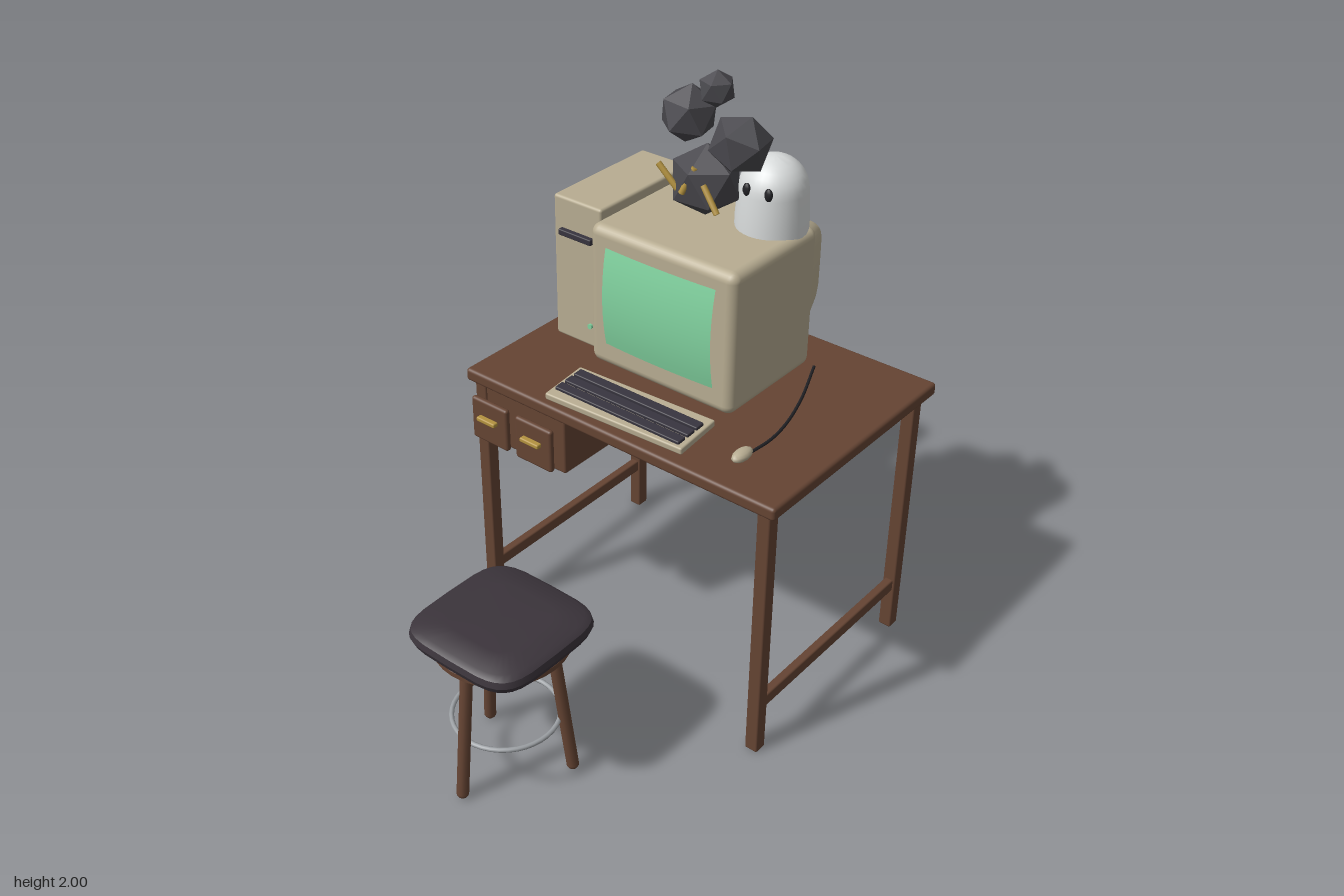
import * as THREE from 'three';
import { toCreasedNormals } from 'three/addons/utils/BufferGeometryUtils.js';
import { RoundedBoxGeometry } from 'three/addons/geometries/RoundedBoxGeometry.js';

const mat = (name, color, extra = {}) => {
  const m = new THREE.MeshStandardMaterial({ color, ...extra });
  m.name = name;
  return m;
};

// Stacked superellipse rings [y, rx, rz] along y, closed at both ends
function loft(rings, power, n = 32) {
  const pos = [], idx = [];
  const all = [[rings[0][0], 1e-4, 1e-4], ...rings, [rings.at(-1)[0], 1e-4, 1e-4]];
  all.forEach(([y, rx, rz], k) => {
    for (let i = 0; i < n; i++) {
      const a = (i / n) * Math.PI * 2, c = Math.cos(a), s = Math.sin(a);
      const se = (v) => Math.sign(v) * Math.abs(v) ** (2 / power);
      pos.push(se(c) * rx, y, se(s) * rz);
      if (k === 0) continue;
      const j = (i + 1) % n, b = (k - 1) * n, t = k * n;
      idx.push(b + i, t + i, b + j, b + j, t + i, t + j);
    }
  });
  const g = new THREE.BufferGeometry();
  g.setAttribute('position', new THREE.Float32BufferAttribute(pos, 3));
  g.setIndex(idx);
  return toCreasedNormals(g, 0.6);
}

export function createModel() {
  const wood = mat('wood', 0x654433);
  const beige = mat('beige plastic', 0xb8ad92);
  const cushionMat = mat('dark cushion', 0x3b343b);
  const dark = mat('dark keys', 0x37343e);
  const green = mat('green screen', 0x82d3a0, { side: THREE.DoubleSide });
  const gold = mat('gold', 0xb3923f);
  const rock = mat('charcoal', 0x4a494e, { flatShading: true });
  const white = mat('pale body', 0xd9dcdc);
  const steel = mat('steel', 0x9da1a5);
  const black = mat('black', 0x222226);

  const root = new THREE.Group();
  root.name = 'computerDesk';
  const group = (name) => {
    const g = new THREE.Group();
    g.name = name;
    root.add(g);
    return g;
  };
  const add = (parent, name, geo, material, x = 0, y = 0, z = 0) => {
    const m = new THREE.Mesh(geo, material);
    m.name = name;
    m.position.set(x, y, z);
    parent.add(m);
    return m;
  };
  // Rounded box given by its min and max corners
  const box = (parent, name, material, [x0, y0, z0], [x1, y1, z1], r = 0.006) =>
    add(parent, name, new RoundedBoxGeometry(x1 - x0, y1 - y0, z1 - z0, 3, r), material,
      (x0 + x1) / 2, (y0 + y1) / 2, (z0 + z1) / 2);
  // Rod between two points
  const rod = (parent, name, material, a, b, r, round = false) => {
    const p = new THREE.Vector3(...a), q = new THREE.Vector3(...b), len = p.distanceTo(q);
    const geo = round ? new THREE.CapsuleGeometry(r, len - 2 * r, 4, 12) : new THREE.CylinderGeometry(r, r, len, 8);
    const m = add(parent, name, geo, material);
    m.position.copy(p).lerp(q, 0.5);
    m.quaternion.setFromUnitVectors(new THREE.Vector3(0, 1, 0), q.sub(p).normalize());
    return m;
  };

  // Desk
  const desk = group('desk');
  box(desk, 'deskTop', wood, [-0.61, 0.93, -0.82], [0.61, 0.975, 0.075], 0.012);
  for (const s of [-1, 1]) {
    for (const z of [0.035, -0.757])
      box(desk, 'deskLeg', wood, [s * 0.563 - 0.023, 0, z - 0.023], [s * 0.563 + 0.023, 0.935, z + 0.023]);
    box(desk, 'sideStretcher', wood, [s * 0.563 - 0.015, 0.16, -0.75], [s * 0.563 + 0.015, 0.205, 0.03]);
  }
  box(desk, 'drawerCase', wood, [-0.585, 0.722, -0.76], [-0.206, 0.94, 0.052], 0.008);
  for (const x of [-0.49, -0.301]) {
    box(desk, 'drawerFront', wood, [x - 0.077, 0.742, 0.078], [x + 0.077, 0.898, 0.1], 0.01);
    box(desk, 'drawerHandle', gold, [x - 0.039, 0.827, 0.098], [x + 0.039, 0.843, 0.12], 0.005);
  }

  // Stool
  const stool = group('stool');
  stool.position.set(0, 0, 0.578);
  add(stool, 'cushion', loft([[0.518, 0.2, 0.2], [0.525, 0.219, 0.219], [0.545, 0.227, 0.227],
    [0.565, 0.222, 0.222], [0.577, 0.205, 0.205], [0.583, 0.13, 0.13]], 4.5), cushionMat);
  add(stool, 'seatBase', loft([[0.493, 0.205, 0.205], [0.499, 0.214, 0.214], [0.516, 0.214, 0.214],
    [0.522, 0.205, 0.205]], 2), wood);
  for (let i = 0; i < 3; i++) {
    const a = Math.PI / 2 + (i * Math.PI * 2) / 3, c = Math.cos(a), s = Math.sin(a);
    rod(stool, 'stoolLeg', wood, [c * 0.208, 0, s * 0.208], [c * 0.152, 0.5, s * 0.152], 0.02, true);
  }
  add(stool, 'footRing', new THREE.TorusGeometry(0.169, 0.008, 8, 40), steel, 0, 0.207, 0).rotation.x = Math.PI / 2;

  // Computer tower
  const tower = group('computerTower');
  box(tower, 'towerCase', beige, [-0.537, 0.975, -0.737], [-0.339, 1.484, -0.288], 0.01);
  box(tower, 'diskSlot', dark, [-0.505, 1.355, -0.3], [-0.37, 1.376, -0.27], 0.004);
  add(tower, 'powerLight', new THREE.CylinderGeometry(0.009, 0.009, 0.01, 12), green, -0.386, 1.053, -0.285)
    .rotation.x = Math.PI / 2;

  // Monitor
  const monitor = group('monitor');
  box(monitor, 'monitorCase', beige, [-0.28, 1.027, -0.59], [0.276, 1.51, -0.16], 0.032);
  const back = loft([[0, 0.235, 0.195], [0.03, 0.232, 0.192], [0.165, 0.18, 0.15],
    [0.195, 0.165, 0.135], [0.205, 0.145, 0.115]], 7, 40).rotateX(-Math.PI / 2);
  add(monitor, 'tubeHousing', back, beige, -0.002, 1.272, -0.59);
  add(monitor, 'monitorBase', new THREE.CylinderGeometry(0.115, 0.125, 0.06, 24), beige, 0, 1.005, -0.395);

  // Bulging screen
  const glass = new THREE.PlaneGeometry(0.418, 0.336, 12, 12);
  const gp = glass.attributes.position;
  for (let i = 0; i < gp.count; i++) {
    const u = gp.getX(i) / 0.209, v = gp.getY(i) / 0.168;
    gp.setZ(i, -0.018 * v * v - 0.007 * u * u);
  }
  glass.computeVertexNormals();
  add(monitor, 'screen', glass, green, 0, 1.281, -0.132);

  // Keyboard, raised at the rear
  const keyboard = group('keyboard');
  keyboard.position.set(-0.028, 0.993, -0.05);
  keyboard.rotation.x = 0.06;
  box(keyboard, 'keyboardCase', beige, [-0.262, -0.012, -0.09], [0.262, 0.012, 0.09], 0.006).rotation.y = 0.045;
  for (const z of [-0.041, 0.003, 0.048])
    box(keyboard, 'keyRow', dark, [-0.246, 0.008, z - 0.018], [0.246, 0.022, z + 0.018], 0.004);

  // Mouse and cable
  const mouse = group('mouse');
  add(mouse, 'mouseBody', new THREE.SphereGeometry(1, 12, 8), beige, 0.385, 0.99, -0.077).scale.set(0.024, 0.018, 0.045);
  const cable = new THREE.CatmullRomCurve3([[0.392, -0.115], [0.398, -0.2], [0.385, -0.3], [0.34, -0.45], [0.26, -0.64]]
    .map(([x, z]) => new THREE.Vector3(x, 0.983, z)));
  add(mouse, 'mouseCable', new THREE.TubeGeometry(cable, 32, 0.005, 6), black);

  // Ghost figure
  const ghost = group('ghost');
  ghost.position.set(0.154, 0, -0.51);
  const profile = [[0, 1.495], [0.114, 1.495], [0.114, 1.54], [0.11, 1.6]];
  for (let i = 0; i <= 8; i++) {
    const a = (i / 8) * Math.PI / 2;
    profile.push([0.108 * Math.cos(a), 1.63 + 0.107 * Math.sin(a)]);
  }
  const body = new THREE.LatheGeometry(profile.map((p) => new THREE.Vector2(...p)), 32);
  add(ghost, 'ghostBody', toCreasedNormals(body, 0.7), white);
  for (const x of [-0.026, 0.048])
    add(ghost, 'ghostEye', new THREE.SphereGeometry(1, 12, 8), black, x, 1.653, x < 0 ? 0.102 : 0.095)
      .scale.set(0.014, 0.021, 0.01);

  // Cluster of faceted lumps: x, y, z, radius, turn about y, tilt about z
  const cluster = group('lumpCluster');
  for (const [x, y, z, r, ry, rz] of [
    [-0.005, 1.655, -0.385, 0.117, 0.4, 0.55],
    [-0.088, 1.84, -0.4, 0.092, 0.9, 0.45],
    [0.105, 1.793, -0.4, 0.098, 0.2, 0.2],
    [0.015, 1.942, -0.398, 0.058, 0.6, 0.5536],
  ]) {
    add(cluster, 'lump', new THREE.IcosahedronGeometry(r, 0).rotateZ(rz).rotateY(ry), rock, x, y, z);
  }
  for (const [a, b] of [
    [[-0.122, 1.705, -0.3], [-0.052, 1.632, -0.31]],
    [[0.008, 1.722, -0.31], [-0.022, 1.64, -0.285]],
    [[0.04, 1.675, -0.31], [0.1, 1.602, -0.3]],
  ]) rod(cluster, 'goldSpike', gold, a, b, 0.01);

  return root;
}
